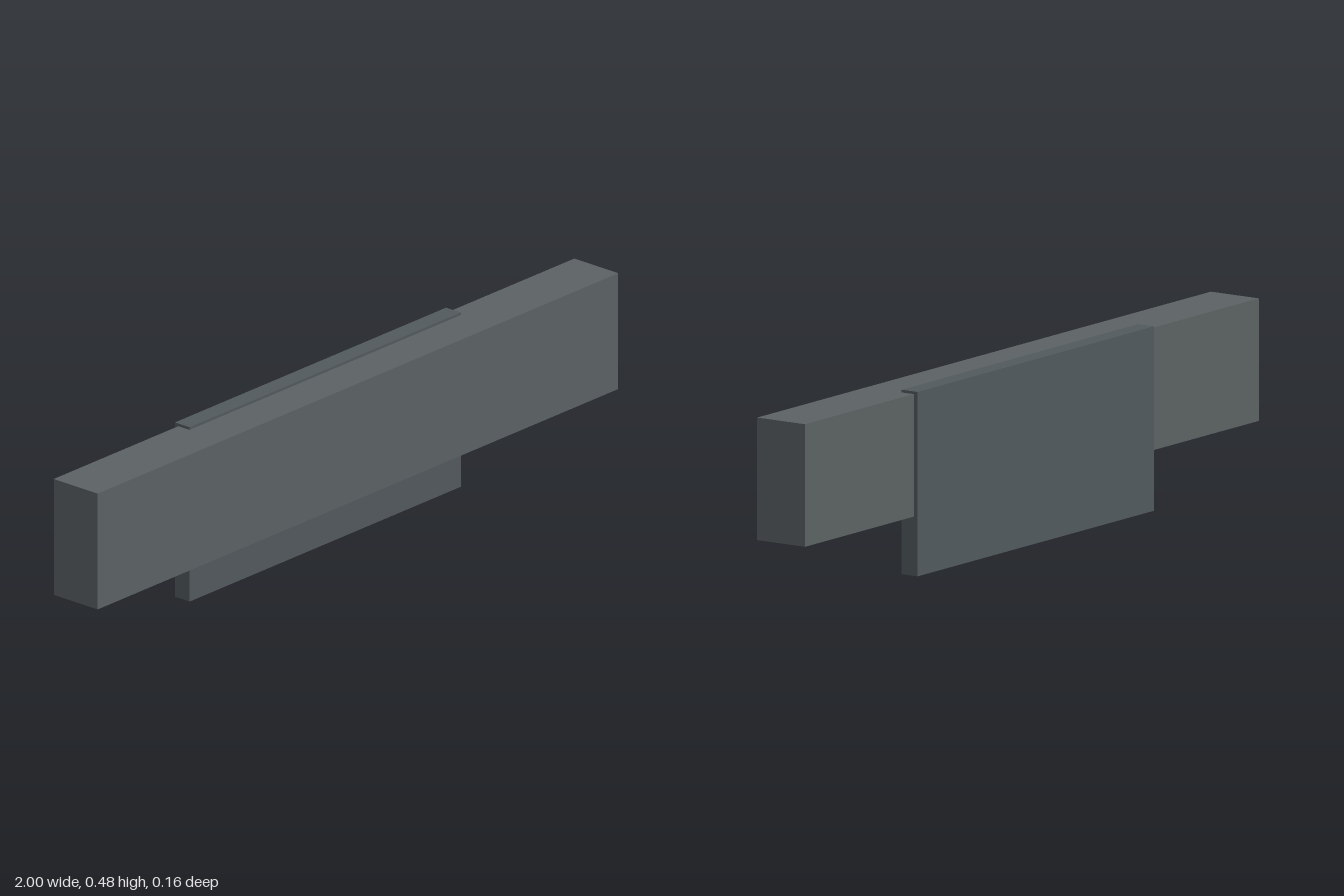
import * as THREE from 'three';

// Box given by its min and max corners
function slab(name, color, min, max) {
  const size = max.map((v, i) => v - min[i]);
  const mesh = new THREE.Mesh(
    new THREE.BoxGeometry(...size),
    new THREE.MeshStandardMaterial({ color })
  );
  mesh.position.set(...min.map((v, i) => (v + max[i]) / 2));
  mesh.name = name;
  return mesh;
}

export function createModel() {
  const model = new THREE.Group();
  model.name = 'beamWithBackPlate';

  // Long horizontal beam
  model.add(slab('beam', 0x5c6264, [-1, 0.154, -0.069], [1, 0.473, 0.081]));

  // Thin plate let into the back of the beam, hanging below it
  model.add(slab('backPlate', 0x525a5e, [-0.521, 0, -0.081], [0.521, 0.48, -0.031]));

  return model;
}
